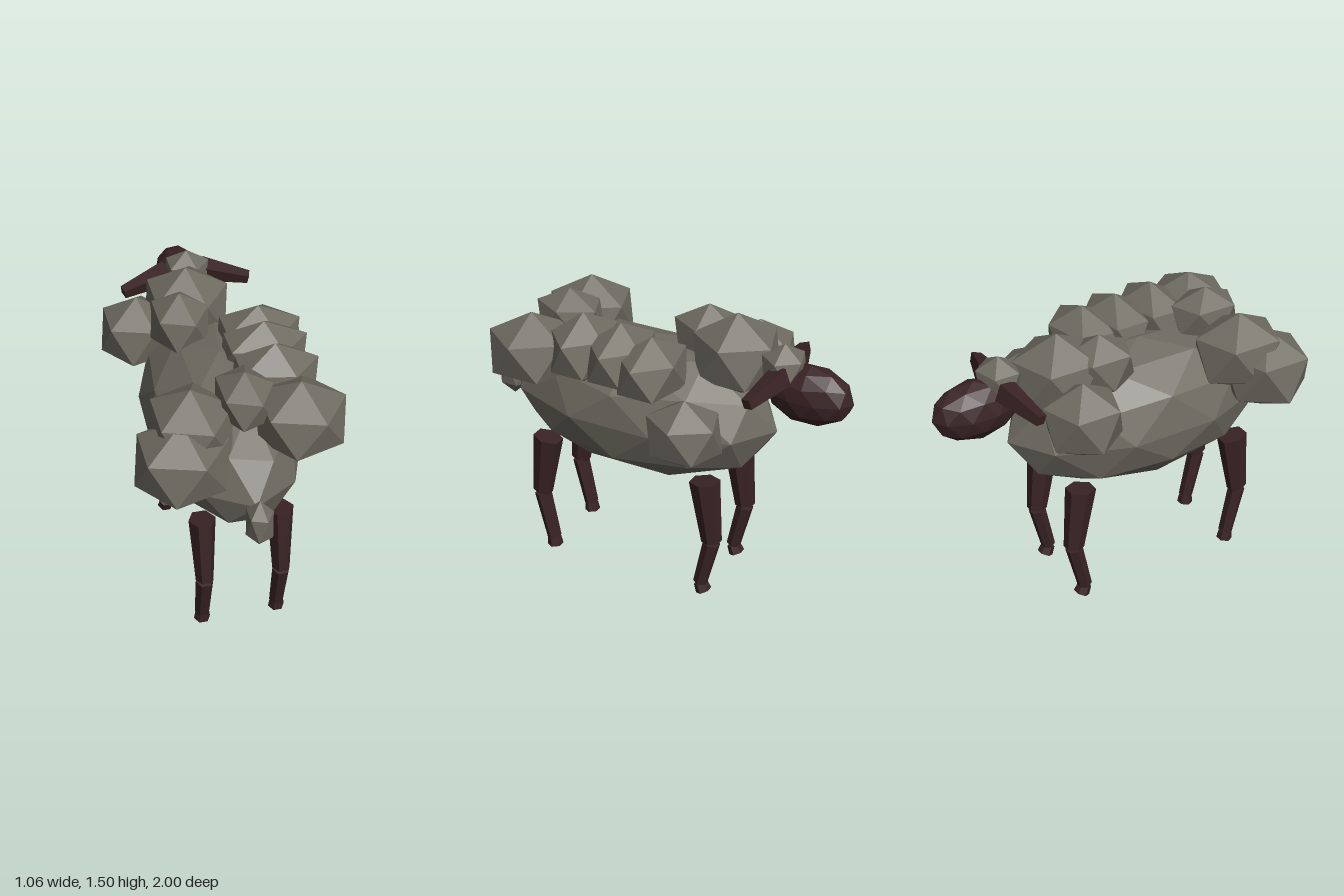
import * as THREE from 'three';

const wool = new THREE.MeshStandardMaterial({ color: 0x6e6b61, flatShading: true });
wool.name = 'greyWool';
const skin = new THREE.MeshStandardMaterial({ color: 0x3a2324, flatShading: true });
skin.name = 'darkBrownSkin';

// Faceted ball with a corner at its top and bottom, stretched to three radii
function ball(name, material, detail, [x, y, z], [rx, ry, rz]) {
  const geo = new THREE.IcosahedronGeometry(1, detail);
  geo.rotateX(-Math.atan2(1 + Math.sqrt(5), 2));
  geo.rotateY(Math.PI / 2);
  geo.scale(rx, ry, rz);
  const mesh = new THREE.Mesh(geo, material);
  mesh.name = name;
  mesh.position.set(x, y, z);
  return mesh;
}

// Tapered prism from one point to another; depth stretches it along z
function limb(name, from, to, r0, r1, sides, depth = 1) {
  const a = new THREE.Vector3(...from), b = new THREE.Vector3(...to);
  const dir = b.clone().sub(a);
  const geo = new THREE.CylinderGeometry(r1, r0, dir.length(), sides);
  if (sides === 4) geo.rotateY(Math.PI / 4);
  else geo.rotateY(Math.PI / 2);
  geo.scale(1, 1, depth);
  const mesh = new THREE.Mesh(geo, skin);
  mesh.name = name;
  mesh.position.copy(a).add(b).multiplyScalar(0.5);
  mesh.quaternion.setFromUnitVectors(new THREE.Vector3(0, 1, 0), dir.normalize());
  return mesh;
}

// One leg: thigh, shin and hoof through four joints given as [y, z]
function leg(name, x, [top, knee, ankle, toe]) {
  const g = new THREE.Group();
  g.name = name;
  const p = ([y, z]) => [x, y, z];
  g.add(
    limb('thigh', p(knee), p(top), 0.045, 0.067, 6, 1.22),
    limb('shin', p(ankle), p([knee[0] - 0.01, knee[1]]), 0.038, 0.045, 6),
    limb('hoof', p(toe), p([ankle[0] - 0.005, ankle[1]]), 0.042, 0.036, 6)
  );
  return g;
}

export function createModel() {
  const model = new THREE.Group();
  model.name = 'sheep';

  // Body, head and tail
  model.add(
    ball('body', wool, 1, [0, 0.95, 0.13], [0.38, 0.37, 0.745]),
    ball('head', skin, 1, [0, 1.2, -0.775], [0.125, 0.152, 0.225]),
    ball('tail', wool, 0, [0, 0.9, 0.925], [0.073, 0.13, 0.088])
  );

  // Wool tufts: centre, radii
  const tufts = [
    [[0.01, 1.32, -0.64], [0.13, 0.12, 0.12]],
    [[-0.055, 1.29, -0.36], [0.24, 0.22, 0.245]],
    [[-0.13, 1.32, -0.17], [0.165, 0.165, 0.2]],
    [[-0.31, 1.17, -0.365], [0.21, 0.2, 0.215]],
    [[0.36, 1.03, -0.29], [0.19, 0.18, 0.21]],
    [[0.24, 1.26, -0.05], [0.24, 0.175, 0.18]],
    [[0.22, 1.28, 0.13], [0.245, 0.18, 0.17]],
    [[0.22, 1.28, 0.34], [0.24, 0.19, 0.17]],
    [[0.27, 1.23, 0.61], [0.245, 0.2, 0.245]],
    [[0.02, 1.33, 0.54], [0.155, 0.145, 0.2]],
    [[-0.24, 1.23, 0.57], [0.225, 0.21, 0.25]],
    [[-0.31, 1.13, 0.69], [0.25, 0.22, 0.245]],
  ];
  const fleece = new THREE.Group();
  fleece.name = 'fleece';
  for (const [centre, radii] of tufts) fleece.add(ball('woolTuft', wool, 0, centre, radii));
  model.add(fleece);

  // Ears and legs on both sides
  const hind = [[0.685, 0.595], [0.34, 0.645], [0.065, 0.585], [0.015, 0.58]];
  const fore = [[0.685, -0.32], [0.34, -0.365], [0.07, -0.305], [0.02, -0.325]];
  for (const s of [-1, 1]) {
    const side = s > 0 ? 'left' : 'right';
    model.add(
      limb(side + 'Ear', [s * 0.09, 1.31, -0.66], [s * 0.335, 1.26, -0.6], 0.065, 0.034, 4),
      leg(side + 'HindLeg', s * 0.195, hind),
      leg(side + 'FrontLeg', s * 0.195, fore)
    );
  }
  return model;
}
